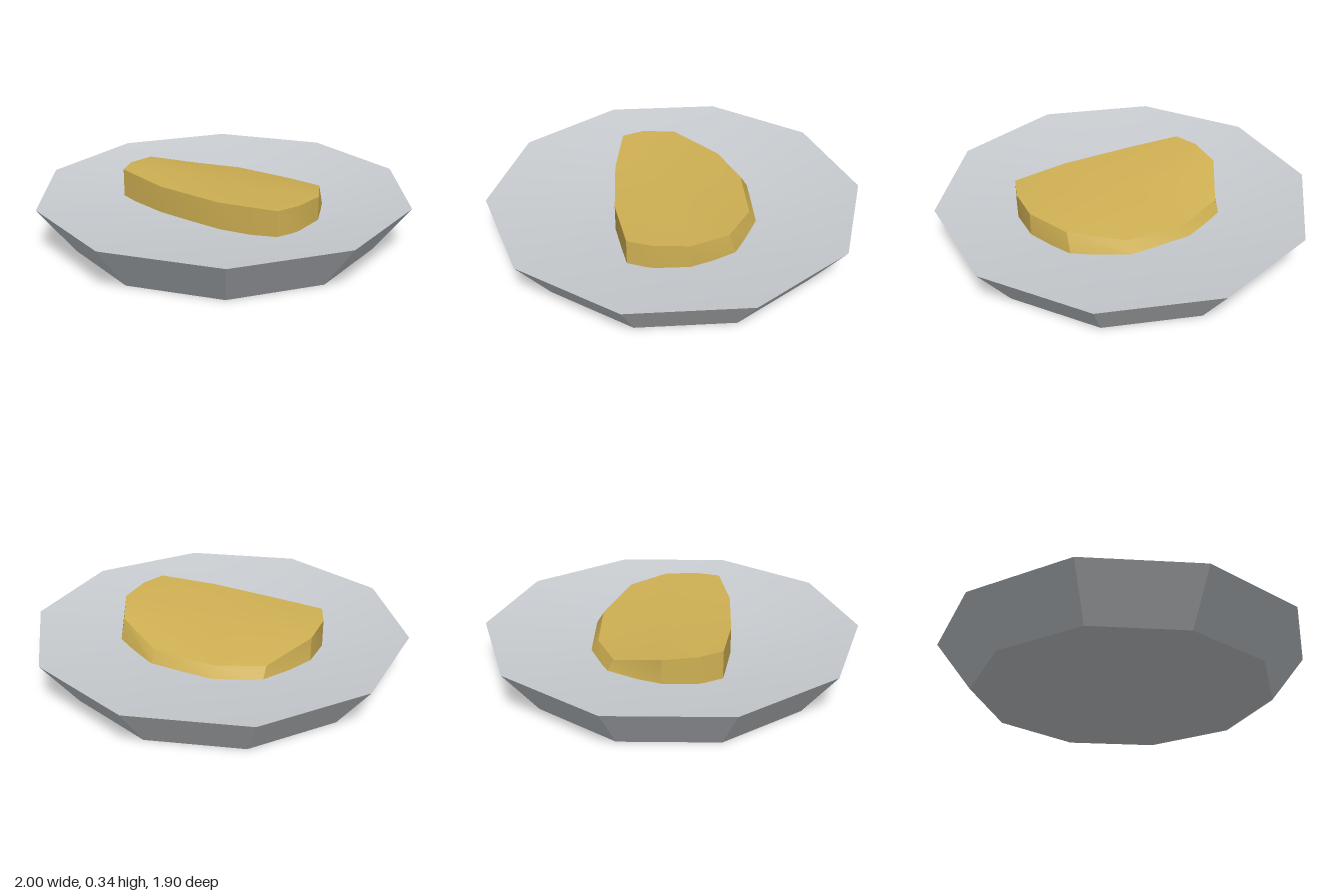
import * as THREE from 'three';
import { toCreasedNormals } from 'three/addons/utils/BufferGeometryUtils.js';

const plateGrey = new THREE.MeshStandardMaterial({ color: 0xc8ccd0 });
plateGrey.name = 'plate grey';
const crustGold = new THREE.MeshStandardMaterial({ color: 0xcfb053 });
crustGold.name = 'crust gold';

// Ten-sided dish: flat base, flared wall, shallow hollow on top
function plateGeometry() {
  const profile = [[0, 0], [0.81, 0], [1, 0.25], [0.5, 0.175], [0, 0.165]]
    .map(([r, y]) => new THREE.Vector2(r, y));
  return toCreasedNormals(new THREE.LatheGeometry(profile, 10, Math.PI / 2), 0.35);
}

// Slab lofted between a flat bottom outline and a tilted top outline
function slabGeometry() {
  // top x, top y, top z, outward shift of the bottom x
  const rim = [
    [-0.26, 0.335, -0.48, 0], [-0.14, 0.33, -0.535, 0], [0.04, 0.315, -0.54, 0],
    [0.28, 0.24, -0.4, 0.04], [0.38, 0.23, -0.16, 0.04], [0.38, 0.235, 0.18, 0.04],
    [0.24, 0.29, 0.45, 0.04], [0.04, 0.315, 0.56, 0], [-0.14, 0.322, 0.555, 0],
    [-0.27, 0.325, 0.51, 0], [-0.32, 0.315, 0.2, 0], [-0.31, 0.315, -0.18, 0],
  ];
  const floorY = 0.17;
  const top = rim.map(([x, y, z]) => [x, y, z]);
  const bottom = rim.map(([x, , z, out]) => [x + out, floorY, z]);
  const topCentre = [0.02, 0.298, 0];
  const bottomCentre = [0.02, floorY, 0];
  const corners = [];
  for (let i = 0; i < rim.length; i++) {
    const j = (i + 1) % rim.length;
    corners.push(topCentre, top[j], top[i]);
    corners.push(bottomCentre, bottom[i], bottom[j]);
    corners.push(bottom[i], top[i], top[j], bottom[i], top[j], bottom[j]);
  }
  const geometry = new THREE.BufferGeometry();
  geometry.setAttribute('position', new THREE.Float32BufferAttribute(corners.flat(), 3));
  return toCreasedNormals(geometry, 0.45);
}

export function createModel() {
  const group = new THREE.Group();
  group.name = 'plateWithFood';

  const plate = new THREE.Mesh(plateGeometry(), plateGrey);
  plate.name = 'plate';

  const food = new THREE.Mesh(slabGeometry(), crustGold);
  food.name = 'food';

  group.add(plate, food);
  return group;
}
